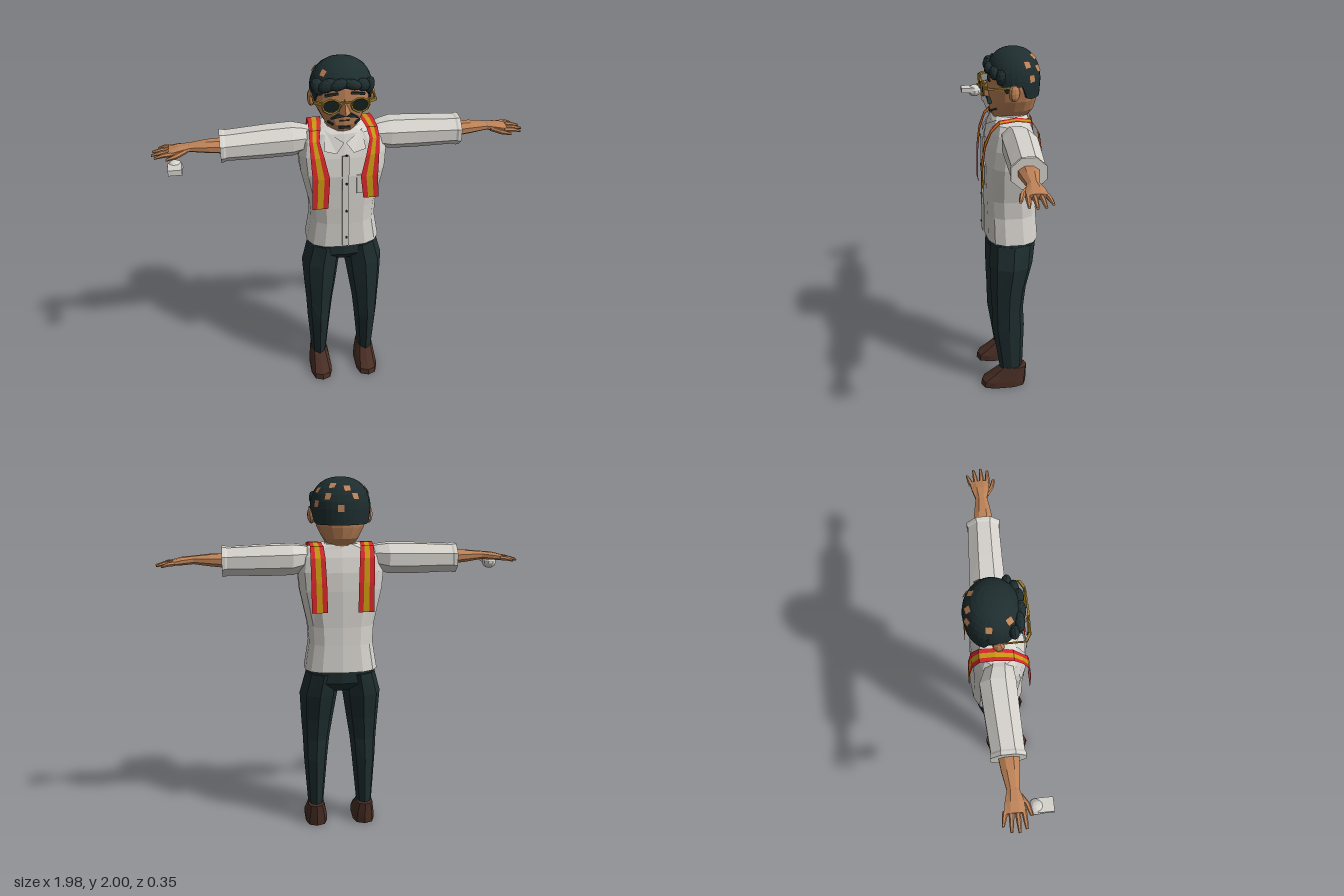
import * as THREE from 'three';

const mat = (name, color, side = THREE.FrontSide) => {
  const m = new THREE.MeshStandardMaterial({ color, side });
  m.name = name;
  return m;
};

// Faceted copy of any geometry
function facet(geo) {
  const g = geo.index ? geo.toNonIndexed() : geo;
  g.computeVertexNormals();
  return g;
}

// Mirror a faceted geometry across x, keeping faces outward
function mirrored(geo) {
  const g = geo.clone(), p = g.attributes.position;
  for (let i = 0; i < p.count; i += 3) {
    const t = [0, 1, 2].map(k => [-p.getX(i + k), p.getY(i + k), p.getZ(i + k)]);
    [t[0], t[2], t[1]].forEach((v, k) => p.setXYZ(i + k, ...v));
  }
  g.computeVertexNormals();
  return g;
}

// Skin a list of rings, closing both ends
function loft(rings) {
  const n = rings[0].length, pos = [];
  const tri = (...pts) => pts.forEach(p => pos.push(...p));
  const mid = r => [0, 1, 2].map(k => r.reduce((s, p) => s + p[k], 0) / n);
  const last = rings[rings.length - 1], c0 = mid(rings[0]), c1 = mid(last);
  for (let i = 0; i < n; i++) {
    const k = (i + 1) % n;
    for (let j = 0; j < rings.length - 1; j++) {
      const a = rings[j], b = rings[j + 1];
      tri(a[i], a[k], b[k]);
      tri(a[i], b[k], b[i]);
    }
    tri(c0, rings[0][k], rings[0][i]);
    tri(c1, last[i], last[k]);
  }
  const g = new THREE.BufferGeometry();
  g.setAttribute('position', new THREE.Float32BufferAttribute(pos, 3));
  g.computeVertexNormals();
  return g;
}

const pw = (v, p) => Math.sign(v) * Math.abs(v) ** p;
const around = (n, f) => Array.from({ length: n }, (_, i) => f((i / n) * Math.PI * 2));

// Upright loft, rows: [y, centre x, half width, front z, back z]
const upright = (rows, n = 12, p = 0.8) => loft(rows.map(([y, cx, rx, zf, zb]) => around(n, a =>
  [cx + rx * pw(Math.sin(a), p), y, (zf + zb) / 2 + (zf - zb) / 2 * pw(Math.cos(a), p)])));

// Sideways loft, rows: [x, centre y, half height, centre z, half depth]
const sideways = (rows, n = 8) => loft(rows.map(([x, y, ry, z, rz]) => around(n, a =>
  [x, y + ry * Math.cos(a + Math.PI / n), z + rz * Math.sin(a + Math.PI / n)])));

// Hair surface: angle from the front and height
const HAIRLINE = [[0, 1.885], [50, 1.87], [62, 1.8], [75, 1.78], [82, 1.83], [104, 1.83], [114, 1.755], [181, 1.755]];
function hairline(a) {
  const d = Math.abs(Math.atan2(Math.sin(a), Math.cos(a))) * 180 / Math.PI;
  const i = HAIRLINE.findIndex(h => h[0] > d);
  const [d0, y0] = HAIRLINE[i - 1], [d1, y1] = HAIRLINE[i];
  return y0 + (y1 - y0) * (d - d0) / (d1 - d0);
}
function hairPoint(a, y, grow = 1) {
  const h = Math.max(0, (y - 1.83) / 0.168);
  const r = grow * (1 - Math.min(1, h) ** 2.3) ** (1 / 2.3) * (y < 1.83 ? 1 - (1.83 - y) * 0.5 : 1);
  return [0.163 * r * Math.sin(a), y, -0.031 + 0.143 * r * Math.cos(a)];
}

export function createModel() {
  const model = new THREE.Group();
  model.name = 'man';
  const skin = mat('skin', 0xbd8257), dark = mat('dark cloth and hair', 0x1e2d2f);
  const white = mat('shirt white', 0xd6d3cd), brown = mat('shoe brown', 0x472d24);
  const red = mat('scarf red', 0xd9282a, THREE.DoubleSide), yellow = mat('scarf yellow', 0xc99a12, THREE.DoubleSide);
  const gold = mat('frame gold', 0x9c7d2a), black = mat('lens black', 0x16201f, THREE.DoubleSide);
  const collarMat = mat('collar white', 0xdad7d2, THREE.DoubleSide);

  const add = (name, geo, material, x = 0, y = 0, z = 0, rz = 0) => {
    const m = new THREE.Mesh(facet(geo), material);
    m.name = name;
    m.position.set(x, y, z);
    m.rotation.z = rz;
    model.add(m);
    return m;
  };
  const pair = (name, geo, material) => {
    const g = facet(geo);
    add(name + 'Left', g, material);
    add(name + 'Right', mirrored(g), material);
  };
  const box = (w, h, d) => new THREE.BoxGeometry(w, h, d);

  // Trousers and shoes
  add('trouserSeat', upright([[0.83, 0, 0.1, 0.07, -0.1], [0.88, 0, 0.2, 0.11, -0.14], [0.98, 0, 0.185, 0.11, -0.145]]), dark);
  pair('trouserLeg', upright([[0.1, 0.143, 0.043, 0.06, -0.07], [0.4, 0.14, 0.068, 0.105, -0.08], [0.52, 0.136, 0.077, 0.106, -0.074],
    [0.65, 0.13, 0.092, 0.112, -0.09], [0.8, 0.122, 0.108, 0.115, -0.128], [0.93, 0.1, 0.095, 0.11, -0.145]], 8, 1), dark);
  pair('shoe', upright([[0, 0.14, 0.065, 0.175, -0.09], [0.035, 0.14, 0.064, 0.17, -0.093],
    [0.07, 0.14, 0.058, 0.12, -0.094], [0.125, 0.143, 0.047, 0.05, -0.095]], 10, 0.7), brown);

  // Shirt body, placket, buttons and pocket
  add('shirtBody', upright([[0.95, 0, 0.205, 0.13, -0.165], [1.1, 0, 0.18, 0.13, -0.155], [1.2, 0, 0.186, 0.134, -0.15],
    [1.4, 0, 0.23, 0.138, -0.152], [1.5, 0, 0.238, 0.122, -0.147], [1.58, 0, 0.225, 0.1, -0.13],
    [1.625, 0, 0.19, 0.085, -0.112], [1.648, 0, 0.1, 0.065, -0.105]], 14, 0.72), white);
  add('placket', box(0.036, 0.56, 0.008), white, 0, 1.245, 0.139);
  for (const y of [1.02, 1.19, 1.36, 1.53])
    add('button', new THREE.CylinderGeometry(0.007, 0.007, 0.006, 6).rotateX(Math.PI / 2), black, 0.004, y, 0.146);
  add('chestPocket', box(0.08, 0.11, 0.008), white, 0.1, 1.35, 0.135);

  // Collar
  add('collarBand', upright([[1.62, 0, 0.1, 0.085, -0.11], [1.655, 0, 0.085, 0.07, -0.105]], 12, 0.9), white);
  const flap = new THREE.BufferGeometry();
  flap.setAttribute('position', new THREE.Float32BufferAttribute([
    0.005, 1.59, 0.116, 0.045, 1.535, 0.13, 0.095, 1.64, 0.07,
    0.045, 1.535, 0.13, 0.11, 1.55, 0.12, 0.095, 1.64, 0.07], 3));
  pair('collarFlap', flap, collarMat);

  // Sleeves, forearms, hands
  pair('sleeve', sideways([[0.15, 1.56, 0.065, -0.012, 0.07], [0.2, 1.568, 0.074, -0.02, 0.08], [0.26, 1.563, 0.088, -0.03, 0.098],
    [0.4, 1.56, 0.088, -0.026, 0.094], [0.61, 1.557, 0.08, -0.018, 0.088], [0.62, 1.556, 0.085, -0.018, 0.094], [0.638, 1.556, 0.085, -0.018, 0.094]]), white);
  pair('forearm', sideways([[0.6, 1.558, 0.04, -0.016, 0.058], [0.7, 1.563, 0.034, -0.014, 0.048], [0.79, 1.565, 0.023, -0.012, 0.033],
    [0.85, 1.56, 0.022, -0.012, 0.05], [0.9, 1.553, 0.016, -0.014, 0.056]]), skin);
  [[-0.058, -0.075, 0.955], [-0.03, -0.038, 0.985], [-0.001, 0, 0.99], [0.028, 0.035, 0.975]].forEach(([z0, z1, x]) =>
    pair('finger', sideways([[0.885, 1.553, 0.013, z0, 0.014], [(x + 0.885) / 2, 1.55, 0.012, (z0 + z1) / 2, 0.012], [x, 1.539, 0.006, z1, 0.007]], 6), skin));
  pair('thumb', sideways([[0.81, 1.558, 0.014, 0.015, 0.014], [0.86, 1.55, 0.014, 0.048, 0.014], [0.915, 1.54, 0.007, 0.064, 0.008]], 6), skin);

  // Whistle beside the right hand
  add('whistleBody', new THREE.SphereGeometry(0.041, 10, 7).scale(1, 0.9, 1), white, -0.87, 1.512, 0.09);
  add('whistleMouthpiece', box(0.07, 0.03, 0.08), white, -0.87, 1.522, 0.133);

  // Striped scarf ends, rows: [centre x, half width, y, z]
  const scarf = rows => [[-1, -0.36, red], [-0.36, 0.36, yellow], [0.36, 1, red]].forEach(([u0, u1, m]) => {
    const pos = [];
    for (let i = 0; i < rows.length - 1; i++) {
      const p = (r, u) => [r[0] + r[1] * u, r[2], r[3]], a = rows[i], b = rows[i + 1];
      [p(a, u0), p(a, u1), p(b, u1), p(a, u0), p(b, u1), p(b, u0)].forEach(v => pos.push(...v));
    }
    const g = new THREE.BufferGeometry();
    g.setAttribute('position', new THREE.Float32BufferAttribute(pos, 3));
    add('scarfStripe', g, m);
  });
  for (const s of [-1, 1]) {
    const front = s < 0
      ? [[-0.138, 0.043, 1.22, 0.15], [-0.13, 0.046, 1.4, 0.15], [-0.146, 0.036, 1.52, 0.135], [-0.157, 0.026, 1.6, 0.105]]
      : [[0.135, 0.041, 1.27, 0.15], [0.125, 0.046, 1.4, 0.15], [0.143, 0.034, 1.52, 0.135], [0.157, 0.026, 1.6, 0.105]];
    scarf([...front, [s * 0.15, 0.03, 1.643, 0.06], [s * 0.14, 0.034, 1.652, -0.03], [s * 0.135, 0.036, 1.64, -0.11],
      [s * 0.132, 0.04, 1.58, -0.148], [s * 0.128, 0.042, 1.45, -0.166], [s * 0.125, 0.043, 1.29, -0.172]]);
  }

  // Neck, head, ears and nose
  add('head', upright([[1.6, 0, 0.07, 0.04, -0.1], [1.642, 0, 0.075, 0.08, -0.11], [1.68, 0, 0.1, 0.095, -0.14], [1.74, 0, 0.13, 0.1, -0.155],
    [1.8, 0, 0.145, 0.106, -0.162], [1.88, 0, 0.148, 0.102, -0.162], [1.93, 0, 0.11, 0.07, -0.13]], 16, 0.88), skin);
  pair('ear', new THREE.SphereGeometry(1, 8, 6).scale(0.022, 0.046, 0.032).rotateY(0.3).translate(0.155, 1.797, -0.017), skin);
  add('nose', new THREE.ConeGeometry(0.034, 0.09, 4).scale(0.9, 1, 1.3), skin, 0, 1.793, 0.1);

  // Hair shell, fringe tufts and bare patches
  const shell = [];
  shell.push(around(32, a => hairPoint(a, hairline(a), 0.88)));
  for (let j = 0; j <= 9; j++) shell.push(around(32, a => {
    const y0 = hairline(a);
    return hairPoint(a, y0 + (1.9975 - y0) * Math.sin(j / 9 * Math.PI / 2));
  }));
  add('hair', loft(shell), dark);
  [[-0.13, 1.885, 0.06, 0.035, 0.05, 0.4], [-0.085, 1.9, 0.09, 0.05, 0.035, 0.5], [-0.03, 1.905, 0.1, 0.05, 0.03, 0.3],
    [0.04, 1.902, 0.098, 0.05, 0.028, -0.3], [0.095, 1.89, 0.08, 0.038, 0.035, -0.5], [0.135, 1.875, 0.05, 0.026, 0.045, -0.2]
  ].forEach(([x, y, z, w, h, r]) => add('fringeTuft', new THREE.IcosahedronGeometry(1, 1).scale(w, h, 0.025), dark, x, y, z, r));
  [[155, 1.955], [-103, 1.935], [-50, 1.945], [176, 1.84], [150, 1.9], [-155, 1.9], [125, 1.86], [-170, 1.94], [118, 1.93]].forEach(([d, y]) => {
    const p = hairPoint(d * Math.PI / 180, y, 1.015);
    const m = add('barePatch', new THREE.PlaneGeometry(0.034, 0.036), skin, p[0], p[1] + 0.003, p[2]);
    m.lookAt(2 * p[0], 2 * p[1] - 1.83, 2 * p[2] + 0.031);
  });

  // Glasses
  pair('lens', new THREE.CircleGeometry(0.044, 8).scale(1, 0.8, 1).translate(0.073, 1.807, 0.136), black);
  pair('lensRim', new THREE.TorusGeometry(0.046, 0.006, 4, 10).scale(1, 0.82, 1).translate(0.073, 1.807, 0.136), gold);
  pair('hinge', box(0.045, 0.014, 0.012).rotateY(0.5).translate(0.137, 1.825, 0.125), gold);
  pair('temple', box(0.006, 0.01, 0.14).translate(0.157, 1.825, 0.05), gold);
  add('bridge', box(0.06, 0.009, 0.01), gold, 0, 1.826, 0.14);

  // Brows, moustache and beard
  pair('brow', box(0.07, 0.012, 0.009).rotateZ(-0.12).translate(0.068, 1.856, 0.104), dark);
  const m = new THREE.Shape([[0, 1.75], [0.035, 1.748], [0.072, 1.722], [0.05, 1.726], [0, 1.734]].map(p => new THREE.Vector2(...p)));
  pair('moustache', new THREE.ExtrudeGeometry(m, { depth: 0.02, bevelEnabled: false }).translate(0, 0, 0.09), dark);
  add('mouth', box(0.05, 0.006, 0.009), brown, 0, 1.708, 0.096);
  add('chinBeard', box(0.06, 0.012, 0.009), dark, 0, 1.667, 0.092);
  pair('jawBeard', box(0.035, 0.01, 0.009).rotateZ(0.4).rotateY(0.6).translate(0.07, 1.69, 0.077), dark);
  return model;
}
